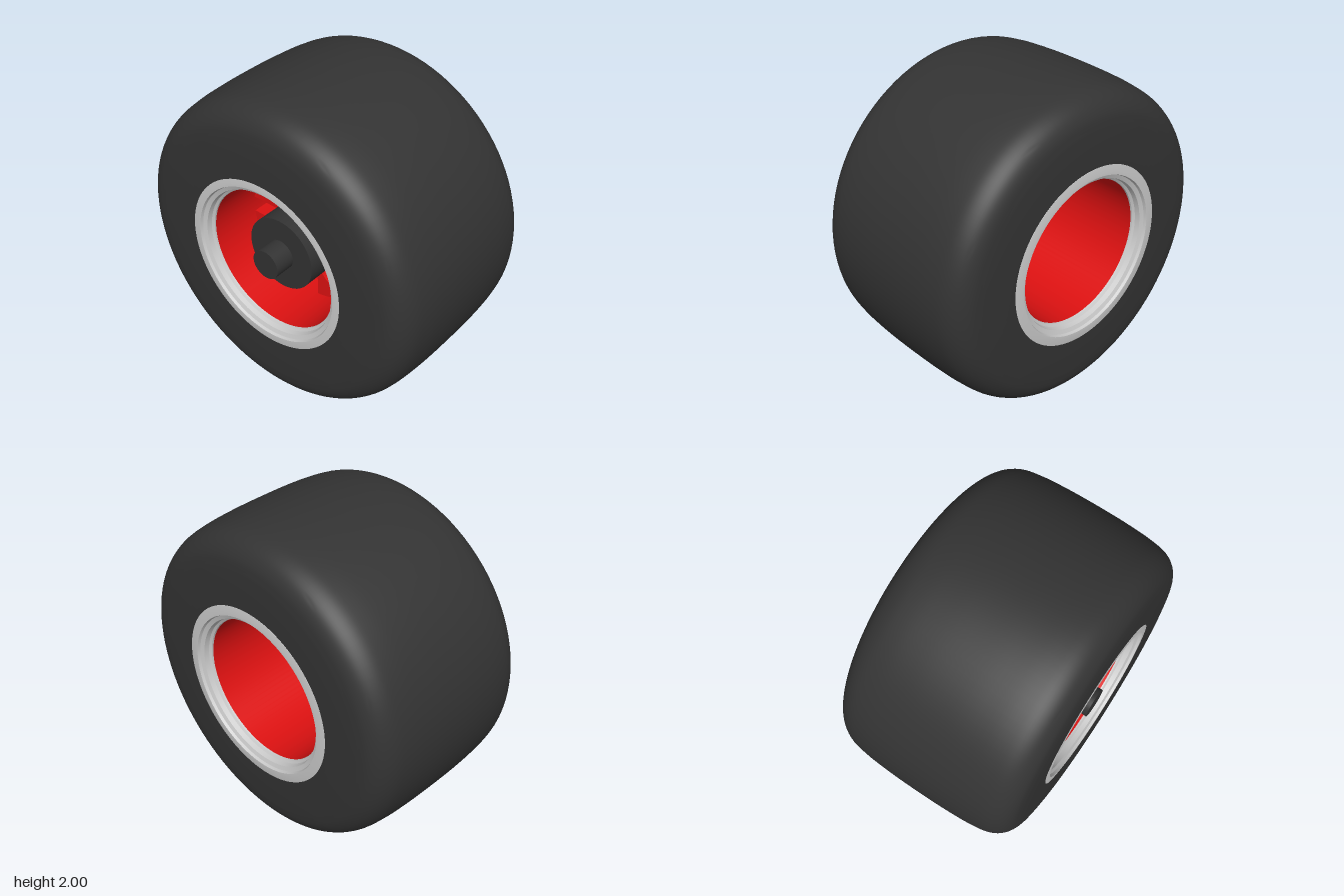
import * as THREE from 'three';
import { toCreasedNormals } from 'three/addons/utils/BufferGeometryUtils.js';

const paint = (color) => new THREE.MeshStandardMaterial({ color, side: THREE.DoubleSide });
const rubber = paint(0x333333), red = paint(0xdd1111), grey = paint(0xcccccc);
const dark = paint(0x333333), steel = paint(0x888888);

export function createModel() {
  const wheel = new THREE.Group();
  wheel.name = 'wheel';
  wheel.position.y = 1;

  const add = (name, geometry, material) => {
    const mesh = new THREE.Mesh(geometry, material);
    mesh.name = name;
    wheel.add(mesh);
    return mesh;
  };
  // Turned part on the x axis from [radius, x] pairs
  const turn = (points, crease = 0.5) => toCreasedNormals(
    new THREE.LatheGeometry(points.map(([r, x]) => new THREE.Vector2(r, x)), 96).rotateZ(-Math.PI / 2), crease);
  // Cylinder lying on the x axis between x0 and x1
  const rod = (name, r, x0, x1, material, sides = 48) => {
    const geometry = new THREE.CylinderGeometry(r, r, x1 - x0, sides).rotateZ(-Math.PI / 2);
    return add(name, geometry.translate((x0 + x1) / 2, 0, 0), material);
  };

  // Tyre: flat sidewalls, rounded shoulders, slightly crowned tread
  const half = [[0, 1], [0.2, 0.997], [0.38, 0.985], [0.48, 0.965], [0.545, 0.925], [0.585, 0.865], [0.6, 0.79]];
  const section = [
    ...half.slice().reverse().map(([x, r]) => new THREE.Vector3(r, -x, 0)),
    ...half.slice(1).map(([x, r]) => new THREE.Vector3(r, x, 0)),
  ];
  const outline = new THREE.CatmullRomCurve3(section).getPoints(60).map((p) => [p.x, p.y - 0.005]);
  add('tyre', turn([[0.55, -0.605], ...outline, [0.55, 0.595]], 0.7), rubber);

  // Stepped grey lips on both ends of the rim
  const lip = [[0.565, 0.585], [0.562, 0.596], [0.52, 0.602], [0.503, 0.602], [0.497, 0.585],
    [0.472, 0.575], [0.466, 0.545], [0.452, 0.535], [0.45, 0.52]];
  add('leftRimLip', turn(lip), grey);
  add('rightRimLip', turn(lip.map(([r, x]) => [r, -x - 0.004]).reverse()), grey);

  // Red barrel between the lips
  add('rimBarrel', turn([[0.45, 0.525], [0.45, -0.53]]), red);

  // Four wheel-disc segments, each with a round hole, separated by slots
  const gap = 0.052, outer = 0.45, inner = 0.11;
  const edge = Math.asin(gap / outer), root = Math.asin(gap / inner);
  const segment = new THREE.Shape();
  segment.absarc(0, 0, outer, edge, Math.PI / 2 - edge, false);
  segment.absarc(0, 0, inner, Math.PI / 2 - root, root, true);
  segment.closePath();
  segment.holes.push(new THREE.Path().absarc(0.2, 0.2, 0.131, 0, Math.PI * 2, true));
  const segmentGeometry = new THREE.ExtrudeGeometry(segment, { depth: 0.1, bevelEnabled: false, curveSegments: 32 })
    .rotateY(Math.PI / 2).translate(-0.2, 0, 0);
  for (let i = 0; i < 4; i++) {
    add('discSegment' + (i + 1), toCreasedNormals(segmentGeometry, 0.5), red).rotation.x = i * Math.PI / 2;
  }
  rod('discCentre', 0.118, -0.2, -0.08, red);

  // Hub drum behind the disc, with its axle stub
  rod('hubDrum', 0.232, -0.46, -0.2, dark);
  rod('axleStub', 0.092, -0.59, -0.45, dark);

  // Hexagonal nut with a bevelled bore around the axle tip
  const hexagon = new THREE.Shape();
  for (let i = 0; i < 6; i++) {
    const a = i * Math.PI / 3;
    hexagon[i ? 'lineTo' : 'moveTo'](0.09 * Math.cos(a), 0.09 * Math.sin(a));
  }
  hexagon.closePath();
  hexagon.holes.push(new THREE.Path().absarc(0, 0, 0.06, 0, Math.PI * 2, true));
  const nut = new THREE.ExtrudeGeometry(hexagon, {
    depth: 0.05, bevelThickness: 0.01, bevelSize: 0.01, bevelSegments: 1, curveSegments: 24,
  });
  add('nut', toCreasedNormals(nut.rotateY(Math.PI / 2).translate(-0.075, 0, 0), 0.4), steel);
  rod('axleTip', 0.051, -0.1, -0.01, dark);

  return new THREE.Group().add(wheel);
}
